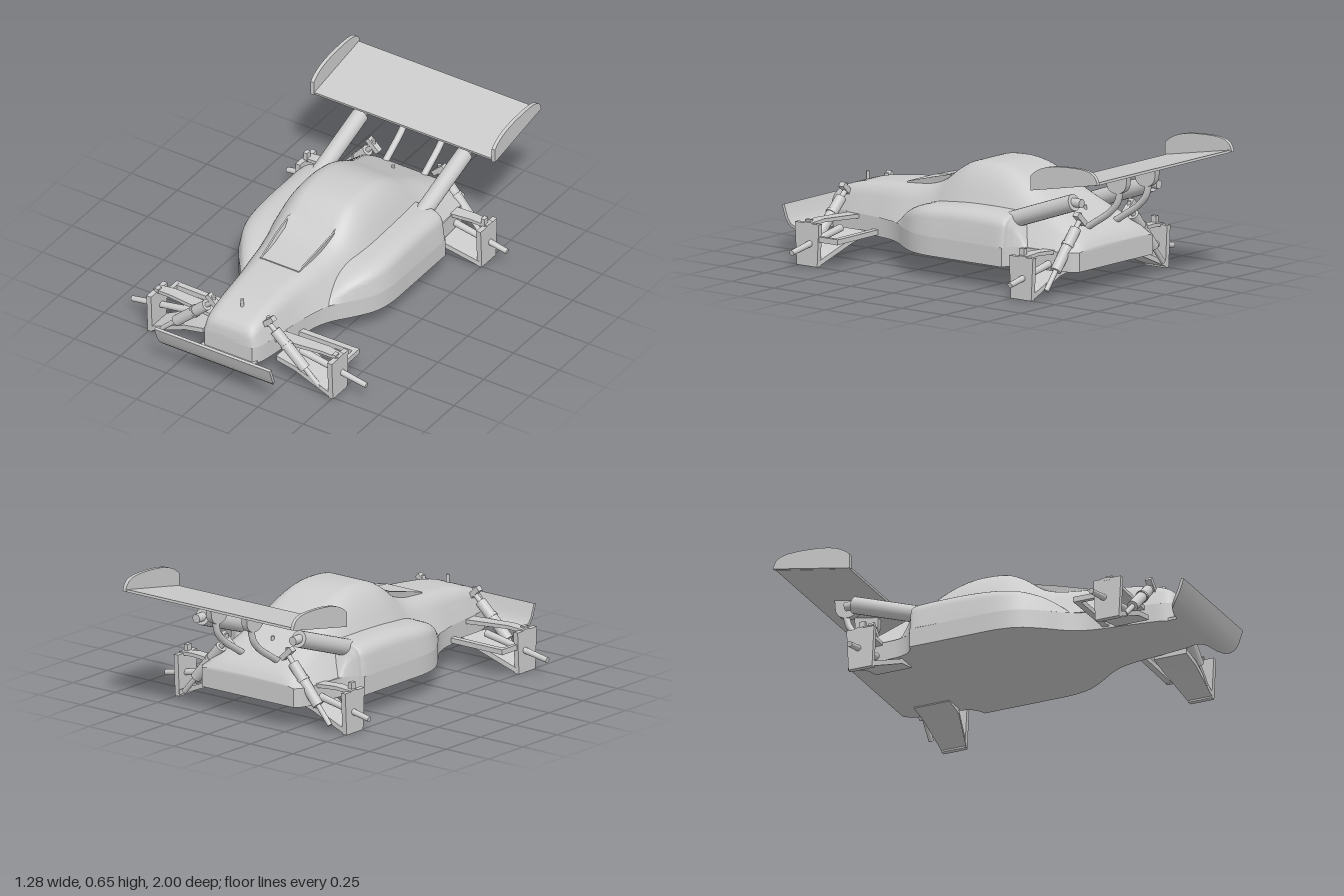
import * as THREE from 'three';
import { toCreasedNormals } from 'three/addons/utils/BufferGeometryUtils.js';

const mat = new THREE.MeshStandardMaterial({ color: 0xcccccc });
const V = (x, y, z) => new THREE.Vector3(x, y, z);

export function createModel() {
  const root = new THREE.Group();
  const add = (name, geo) => {
    const m = new THREE.Mesh(geo, mat);
    m.name = name;
    root.add(m);
    return m;
  };

  // Skin a list of equal-length rings, cap both ends, and turn the faces outward
  function loft(rings, crease = 0.6) {
    const n = rings[0].length, pts = rings.flat(), tris = [];
    for (let i = 0; i + 1 < rings.length; i++)
      for (let j = 0; j < n; j++) {
        const a = i * n + j, b = i * n + (j + 1) % n;
        tris.push([a, b, a + n], [b, b + n, a + n]);
      }
    for (const end of [0, rings.length - 1]) {
      const c = pts.length, mid = V(0, 0, 0);
      rings[end].forEach(p => mid.addScaledVector(p, 1 / n));
      pts.push(mid);
      for (let j = 0; j < n; j++) {
        const a = end * n + j, b = end * n + (j + 1) % n;
        tris.push(end ? [a, b, c] : [b, a, c]);
      }
    }
    let volume = 0;
    for (const [a, b, c] of tris) volume += pts[a].dot(V(0, 0, 0).crossVectors(pts[b], pts[c]));
    if (volume < 0) tris.forEach(t => t.reverse());
    const g = new THREE.BufferGeometry().setFromPoints(pts);
    g.setIndex(tris.flat());
    return toCreasedNormals(g, crease);
  }

  // Smooth stations [z, base half width, shoulder half width, height]
  function stations(table, count) {
    const a = new THREE.CatmullRomCurve3(table.map(t => V(t[0], t[1], t[2])), false, 'catmullrom', 0.5);
    const b = new THREE.CatmullRomCurve3(table.map(t => V(t[0], t[3], 0)), false, 'catmullrom', 0.5);
    return Array.from({ length: count + 1 }, (_, i) => {
      const p = a.getPoint(i / count), q = b.getPoint(i / count);
      return [p.x, p.y, p.z, q.y];
    });
  }
  // Half section: straight flank, then a rounded shoulder to the flat top
  function flank(base, corner, inner, r, z) {
    const mix = (p, q, t) => new THREE.Vector2().lerpVectors(p, q, t);
    const arc = new THREE.QuadraticBezierCurve(mix(corner, base, r), corner, mix(corner, inner, r));
    return [base, ...arc.getPoints(9)].map(p => V(p.x, p.y, z));
  }
  const P = (x, y) => new THREE.Vector2(x, y);

  function rod(name, a, b, r, r2 = r) {
    const d = b.clone().sub(a);
    const m = add(name, new THREE.CylinderGeometry(r2, r, d.length(), 20));
    m.position.copy(a).addScaledVector(d, 0.5);
    m.quaternion.setFromUnitVectors(V(0, 1, 0), d.normalize());
  }
  function box(name, w, h, d, x, y, z, tilt = 0) {
    const m = add(name, new THREE.BoxGeometry(w, h, d));
    m.position.set(x, y, z);
    m.rotation.z = tilt;
  }
  // Box-like arm through sections [x, yLow, yHigh, zBack, zFront]
  const arm = (name, s, list) => add(name, loft(list.map(([x, y0, y1, z0, z1]) =>
    [V(s * x, y0, z0), V(s * x, y1, z0), V(s * x, y1, z1), V(s * x, y0, z1)])));
  // Plate swept across x through [z, y, half width]
  const sheet = (name, list, t) => add(name, loft(list.map(([z, y, w], i) => {
    const p = list[Math.max(0, i - 1)], q = list[Math.min(list.length - 1, i + 1)];
    const n = P(-(q[1] - p[1]), q[0] - p[0]).normalize().multiplyScalar(t / 2);
    return [V(-w, y - n.y, z - n.x), V(w, y - n.y, z - n.x), V(w, y + n.y, z + n.x), V(-w, y + n.y, z + n.x)];
  })));
  // Side profile in (z, y), thickened along x
  function sidePlate(name, shape, thick, x) {
    const g = new THREE.ExtrudeGeometry(shape, { depth: thick, bevelEnabled: false, curveSegments: 12 });
    g.rotateY(-Math.PI / 2);
    add(name, toCreasedNormals(g, 0.5)).position.x = x + thick / 2;
  }

  // Floor tray
  const side = new THREE.SplineCurve([[0.13, 0.86], [0.157, 0.8], [0.18, 0.65], [0.205, 0.48], [0.245, 0.38],
    [0.32, 0.28], [0.375, 0.19], [0.398, 0.09], [0.4, -0.05], [0.4, -0.2], [0.4, -0.355]].map(p => P(...p))).getPoints(50);
  const rear = new THREE.SplineCurve([[0.375, -0.365], [0.345, -0.39], [0.325, -0.44], [0.32, -0.5],
    [0.315, -0.6], [0.3, -0.67], [0.27, -0.71]].map(p => P(...p))).getPoints(24);
  const half = [...side, ...rear];
  const ring = y => [...half.map(p => V(p.x, y, p.y)), ...half.map(p => V(-p.x, y, p.y)).reverse()];
  add('floorTray', loft([ring(0.11), ring(0.2)]));

  // Nose, cockpit and rear deck
  const hull = stations([[0.862, 0.125, 0.11, 0.215], [0.85, 0.138, 0.118, 0.265], [0.81, 0.155, 0.125, 0.3],
    [0.7, 0.173, 0.13, 0.333], [0.55, 0.195, 0.138, 0.353], [0.4, 0.235, 0.15, 0.366], [0.28, 0.26, 0.16, 0.38],
    [0.19, 0.28, 0.165, 0.412], [0.1, 0.3, 0.168, 0.478], [0.02, 0.31, 0.17, 0.517], [-0.08, 0.315, 0.172, 0.528],
    [-0.18, 0.315, 0.172, 0.52], [-0.28, 0.315, 0.175, 0.485], [-0.4, 0.315, 0.182, 0.415],
    [-0.52, 0.315, 0.2, 0.35], [-0.62, 0.31, 0.215, 0.295], [-0.68, 0.293, 0.22, 0.25], [-0.71, 0.27, 0.22, 0.21]], 90);
  add('bodyShell', loft(hull.map(([z, wb, wt, h]) => {
    const right = flank(P(wb, 0.2), P(wt, h), P(0, h), 0.42, z);
    return [...right, ...right.map(p => V(-p.x, p.y, z)).reverse()];
  }), 0.8));

  // Cowl vent on the slope ahead of the cockpit
  sheet('cowlVent', [[0.43, 0.364, 0.1], [0.3, 0.378, 0.108], [0.21, 0.4, 0.115], [0.165, 0.434, 0.12], [0.14, 0.44, 0.12]], 0.01);
  for (const z of [0.745, -0.53]) rod('bodyPin', V(0, 0.3, z), V(0, 0.36, z), 0.008);

  // Front bumper with an upturned lip
  sheet('frontBumper', [[0.82, 0.118, 0.14], [0.86, 0.116, 0.148], [0.885, 0.11, 0.155], [0.895, 0.108, 0.18], [0.905, 0.107, 0.235],
    [0.92, 0.108, 0.275], [0.94, 0.117, 0.3], [0.956, 0.133, 0.312], [0.972, 0.163, 0.315], [0.992, 0.222, 0.315]], 0.014);

  // Rear wing blade
  sheet('wingBlade', [[-0.615, 0.525, 0.49], [-0.99, 0.592, 0.49]], 0.012);

  for (const s of [1, -1]) {
    // Side pods
    const pod = stations([[0.4, 0.23, 0.2, 0.2], [0.36, 0.258, 0.24, 0.228], [0.28, 0.32, 0.3, 0.283], [0.19, 0.375, 0.35, 0.318],
      [0.09, 0.398, 0.375, 0.337], [-0.05, 0.4, 0.38, 0.35], [-0.2, 0.4, 0.38, 0.352], [-0.34, 0.4, 0.38, 0.346],
      [-0.365, 0.375, 0.358, 0.335], [-0.39, 0.345, 0.33, 0.295], [-0.44, 0.325, 0.31, 0.205]], 50);
    add('sidePod', loft(pod.map(([z, wb, wt, h]) => [...flank(P(wb, 0.2), P(wt, h), P(0.15, h), 0.42, z),
      V(0.15, h, z), V(0.15, 0.2, z)].map(p => V(s * p.x, p.y, z))), 0.8));

    // Vent cheeks
    const cheek = (z, x, y0, y1, t) => [V(s * (x - 0.015), y0, z), V(s * x, y0, z), V(s * (x + t), y1, z), V(s * (x + t - 0.008), y1, z)];
    add('ventCheek', loft([cheek(0.43, 0.105, 0.355, 0.368, 0), cheek(0.28, 0.112, 0.36, 0.408, 0.008), cheek(0.16, 0.115, 0.37, 0.437, 0.012)]));

    // Rear exhaust tubes
    rod('exhaustTube', V(s * 0.285, 0.295, -0.28), V(s * 0.285, 0.437, -0.69), 0.04);
    rod('exhaustTip', V(s * 0.285, 0.437, -0.67), V(s * 0.285, 0.437, -0.735), 0.021);

    // Wing end plates
    const end = new THREE.Shape();
    end.moveTo(-0.61, 0.518);
    end.lineTo(-0.61, 0.588);
    end.bezierCurveTo(-0.66, 0.64, -0.74, 0.65, -0.85, 0.653);
    end.bezierCurveTo(-0.95, 0.655, -0.99, 0.645, -1, 0.59);
    sidePlate('wingEndPlate', end, 0.018, s * 0.495);

    // Wing stays
    const stay = new THREE.CatmullRomCurve3([V(s * 0.105, 0.27, -0.6), V(s * 0.105, 0.32, -0.68),
      V(s * 0.105, 0.37, -0.755), V(s * 0.105, 0.42, -0.8), V(s * 0.105, 0.48, -0.818)]);
    add('wingStay', new THREE.TubeGeometry(stay, 24, 0.016, 12));
    const head = new THREE.Shape();
    head.moveTo(-0.75, 0.548);
    head.lineTo(-0.75, 0.5);
    head.bezierCurveTo(-0.76, 0.455, -0.85, 0.45, -0.865, 0.51);
    head.lineTo(-0.87, 0.568);
    sidePlate('wingStayHead', head, 0.032, s * 0.105);

    // Suspension, front then rear
    for (const [end2, z, reach] of [['front', 0.7, 0.64], ['rear', -0.555, 0.6]]) {
      const isFront = end2 === 'front';
      const up = new THREE.Shape([P(z - 0.06, 0), P(z + 0.06, 0), P(z + 0.065, 0.1), P(z + 0.07, 0.2), P(z - 0.07, 0.2), P(z - 0.065, 0.1)]);
      sidePlate(end2 + 'Upright', up, 0.025, s * 0.494);
      const zIn = isFront ? [0.6, 0.765] : [-0.62, -0.44];
      arm(end2 + 'LowerArm', s, [[0.2, 0.105, 0.13, ...zIn], [0.3, 0.085, 0.11, ...zIn], [0.5, 0.0, 0.025, z - 0.06, z + 0.06]]);
      arm(end2 + 'UpperArm', s, [[0.15, 0.175, 0.195, z - 0.045, z + 0.03], [0.42, 0.195, 0.212, z - 0.035, z + 0.02], [0.507, 0.19, 0.205, z - 0.03, z + 0.015]]);
      const za = isFront ? 0.683 : -0.565;
      rod(end2 + 'Axle', V(s * 0.28, 0.145, za), V(s * reach, 0.083, za), 0.018, 0.013);
      box(end2 + 'UprightLug', 0.02, isFront ? 0.02 : 0.045, 0.03, s * 0.485, isFront ? 0.205 : 0.215, z + 0.005);

      // Damper: mount, rod, body, lower eye
      const zd = isFront ? 0.755 : -0.642;
      const lift = isFront ? 0 : 0.04, shift = isFront ? 0 : 0.03;
      const top = V(s * (0.15 + shift), 0.295 + lift, zd), bottom = V(s * 0.43, 0.04, zd);
      const along = t => top.clone().lerp(bottom, t);
      rod(end2 + 'DamperRod', top, bottom, 0.012);
      rod(end2 + 'DamperBody', along(0.72), along(0.13), 0.026);
      rod(end2 + 'DamperCollar', along(0.38), along(0.34), 0.03);
      box(end2 + 'DamperMount', 0.08, 0.025, 0.03, top.x, top.y + 0.002, zd, s * 0.75);
      rod(end2 + 'DamperMountPin', V(top.x, top.y - 0.02, zd), V(top.x, top.y + 0.03, zd), 0.009);
    }

    // Steering link behind the front upright
    arm('steeringLink', s, [[0.15, 0.118, 0.142, 0.53, 0.56], [0.5, 0.118, 0.142, 0.525, 0.555]]);
    box('steeringArm', 0.02, 0.026, 0.12, s * 0.49, 0.13, 0.585);
  }
  return root;
}
